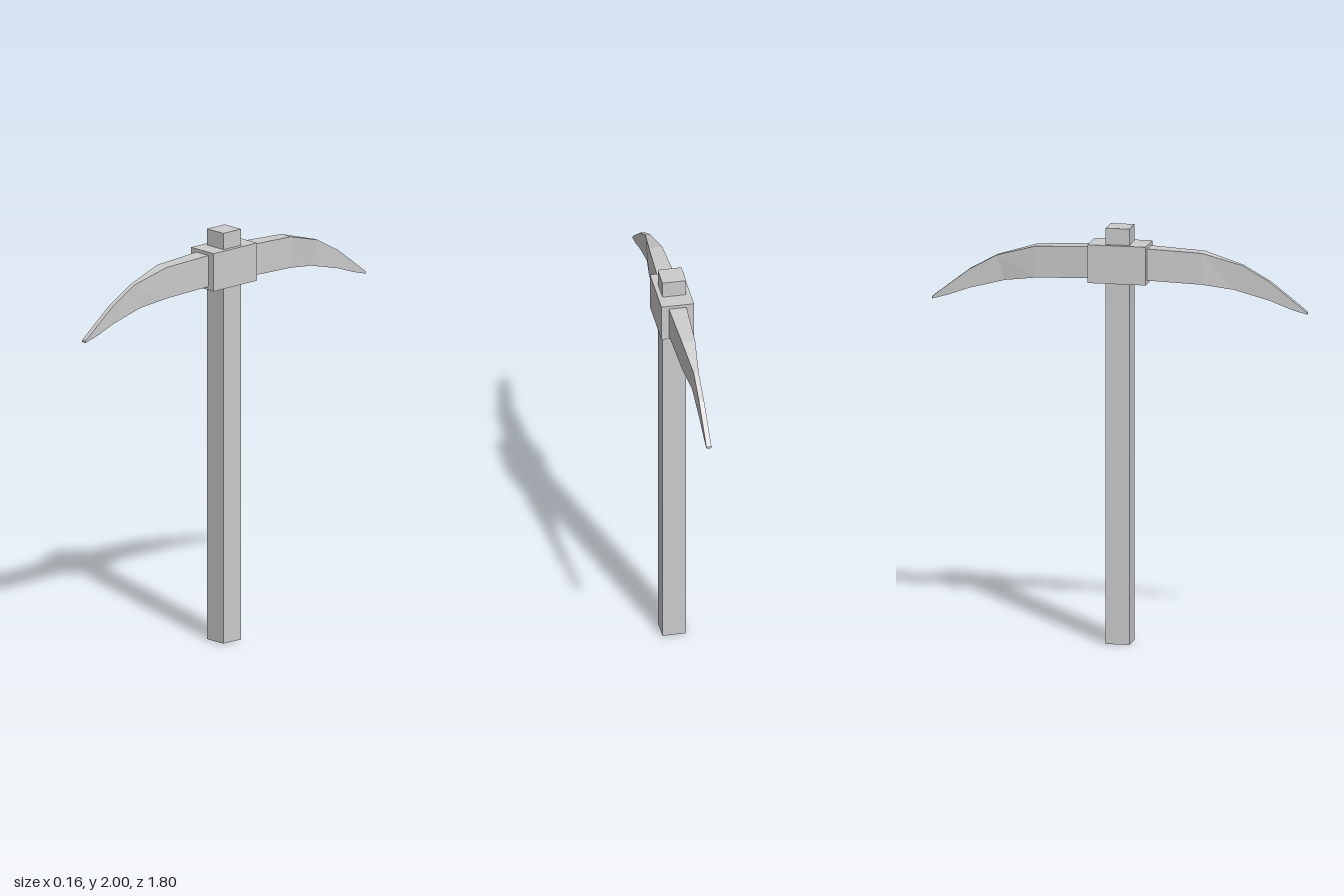
import * as THREE from 'three';

const material = new THREE.MeshStandardMaterial({ color: 0xcccccc, flatShading: true });

function addBox(group, name, w, h, d, y) {
  const mesh = new THREE.Mesh(new THREE.BoxGeometry(w, h, d), material);
  mesh.name = name;
  mesh.position.y = y;
  group.add(mesh);
}

// Curved blade: rectangular sections [zTop, yTop, zBottom, yBottom, halfWidth] lofted along z
function bladeGeometry() {
  const half = [
    [0.14, 1.905, 0.14, 1.753, 0.042],
    [0.4, 1.893, 0.4, 1.742, 0.032],
    [0.59, 1.838, 0.55, 1.72, 0.012],
    [0.72, 1.765, 0.72, 1.675, 0.012],
    [0.82, 1.688, 0.82, 1.638, 0.012],
    [0.9, 1.625, 0.9, 1.615, 0.012],
  ];
  const back = half.map(([zt, yt, zb, yb, w]) => [-zt, yt, -zb, yb, w]).reverse();
  const sections = [...back, ...half];
  const positions = [];
  for (const [zt, yt, zb, yb, w] of sections) {
    positions.push(-w, yb, zb, w, yb, zb, w, yt, zt, -w, yt, zt);
  }
  const index = [];
  for (let i = 0; i < sections.length - 1; i++) {
    for (let j = 0; j < 4; j++) {
      const a = i * 4 + j, b = i * 4 + (j + 1) % 4;
      index.push(a, b, b + 4, a, b + 4, a + 4);
    }
  }
  // Tip caps
  const e = (sections.length - 1) * 4;
  index.push(0, 2, 1, 0, 3, 2, e, e + 1, e + 2, e, e + 2, e + 3);

  const indexed = new THREE.BufferGeometry();
  indexed.setAttribute('position', new THREE.Float32BufferAttribute(positions, 3));
  indexed.setIndex(index);
  const geometry = indexed.toNonIndexed();
  geometry.computeVertexNormals();
  return geometry;
}

export function createModel() {
  const group = new THREE.Group();
  group.name = 'pickaxe';
  addBox(group, 'handle', 0.114, 2, 0.114, 1);
  addBox(group, 'collar', 0.156, 0.184, 0.278, 1.829);
  const blade = new THREE.Mesh(bladeGeometry(), material);
  blade.name = 'blade';
  group.add(blade);
  return group;
}
